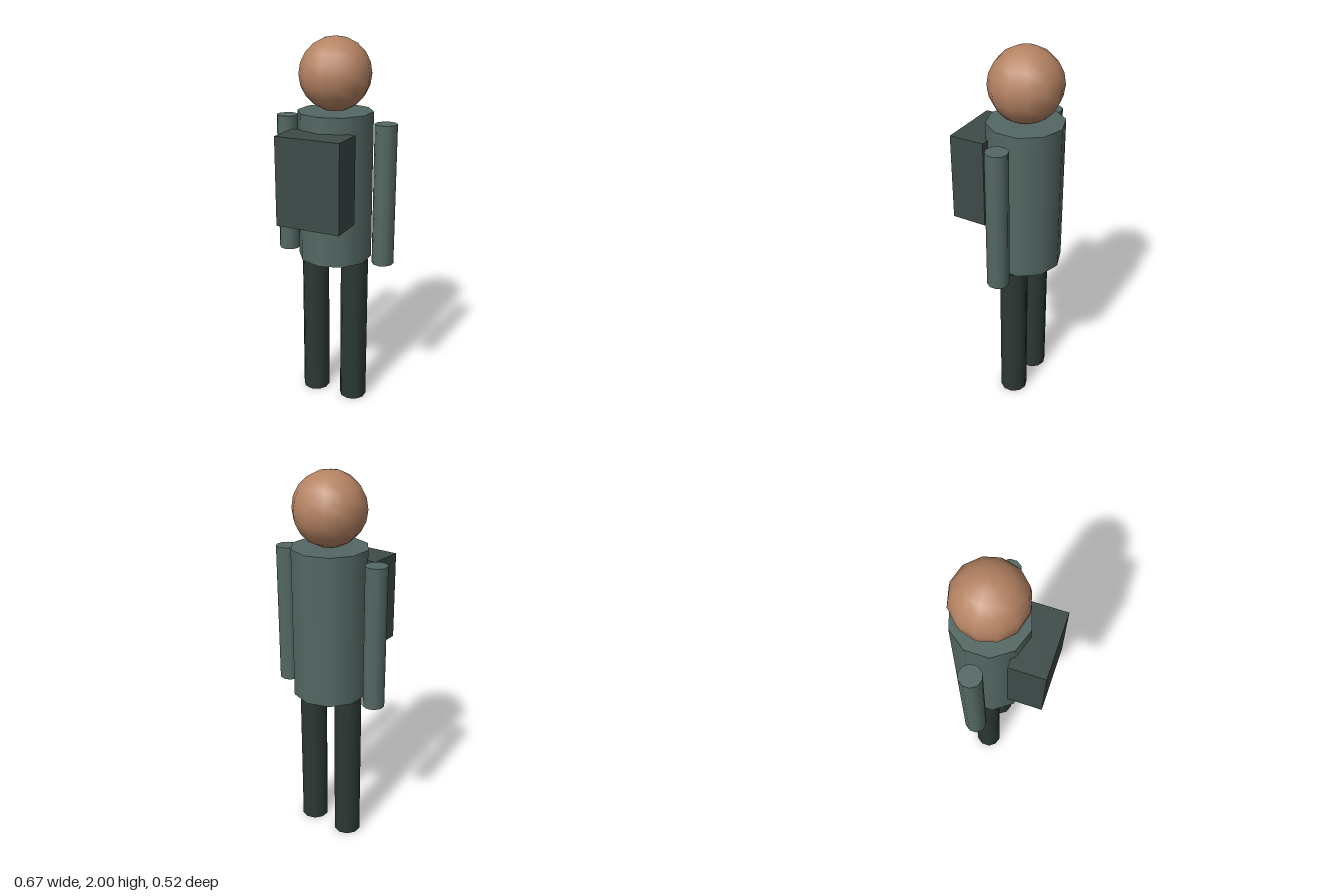
import * as THREE from 'three';

const Z = -0.065; // body axis

export function createModel() {
  const group = new THREE.Group();
  const mat = (color) => new THREE.MeshStandardMaterial({ color });
  const cloth = mat(0x546864), trousers = mat(0x2c3835), packCloth = mat(0x3d4b48), skin = mat(0xb58363);

  const add = (name, geometry, material, x, y, z) => {
    const mesh = new THREE.Mesh(geometry, material);
    mesh.name = name;
    mesh.position.set(x, y, z);
    group.add(mesh);
  };
  // Upright ten-sided cylinder spanning y0 to y1
  const column = (name, r, y0, y1, x, material) =>
    add(name, new THREE.CylinderGeometry(r, r, y1 - y0, 10), material, x, (y0 + y1) / 2, Z);

  // Head and torso
  add('head', new THREE.SphereGeometry(0.185, 12, 10), skin, 0, 1.815, Z);
  column('torso', 0.196, 0.846, 1.631, 0, cloth);

  // Mirrored limbs
  for (const [side, s] of [['left', 1], ['right', -1]]) {
    column(side + 'Arm', 0.0575, 0.846, 1.588, s * 0.278, cloth);
    column(side + 'Leg', 0.0736, 0, 0.836, s * 0.116, trousers);
  }

  // Box pack worn against the torso
  add('pack', new THREE.BoxGeometry(0.348, 0.46, 0.186), packCloth, 0, 1.319, 0.167);

  return group;
}
